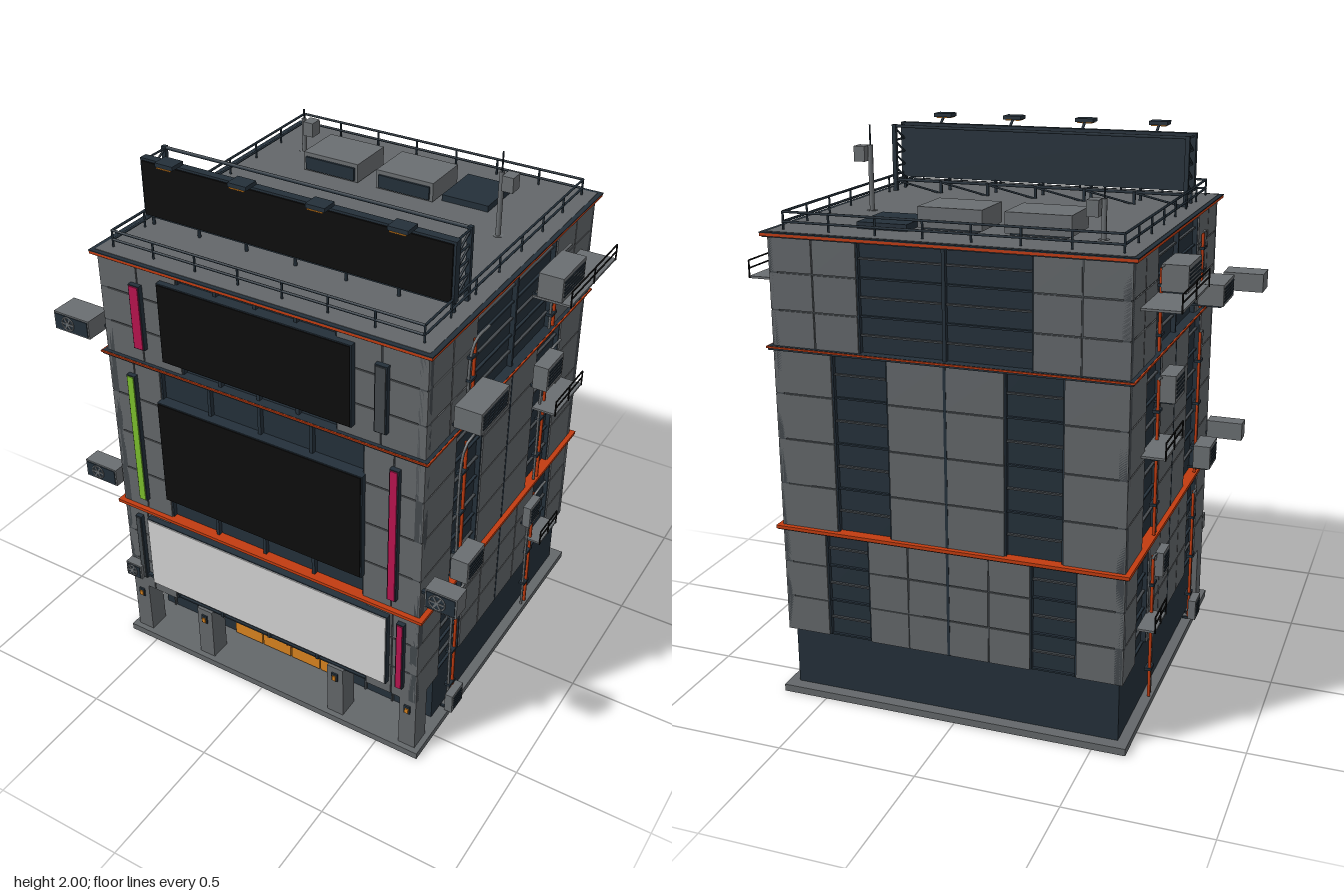
import * as THREE from 'three';

const material = (name, color) => {
  const m = new THREE.MeshStandardMaterial({ color });
  m.name = name;
  return m;
};
const M = {
  wall: material('wall grey', 0x63676a),
  trim: material('seam grey', 0x43484c),
  dark: material('dark slate', 0x24303a),
  black: material('screen black', 0x0d0d0d),
  white: material('sign white', 0xd2d2d2),
  door: material('door orange', 0xd8831f),
  ledge: material('ledge red', 0xc23c10),
  pink: material('magenta', 0xb8144f),
  green: material('lime', 0x7cc02c),
  unit: material('equipment grey', 0x6a6e71),
};
const CX = 0.024, CZ = -0.012, HALF = 0.6225;

// box given by its ranges
function box(parent, name, mat, x0, x1, y0, y1, z0, z1) {
  const g = new THREE.BoxGeometry(Math.abs(x1 - x0), Math.abs(y1 - y0), Math.abs(z1 - z0));
  const m = new THREE.Mesh(g, mat);
  m.position.set((x0 + x1) / 2, (y0 + y1) / 2, (z0 + z1) / 2);
  m.name = name;
  parent.add(m);
  return m;
}
// round bar between two points
function bar(parent, name, mat, a, b, r = 0.004) {
  const p = new THREE.Vector3(...a), q = new THREE.Vector3(...b);
  const m = new THREE.Mesh(new THREE.CylinderGeometry(r, r, p.distanceTo(q), 6), mat);
  m.position.copy(p).add(q).multiplyScalar(0.5);
  m.quaternion.setFromUnitVectors(new THREE.Vector3(0, 1, 0), q.sub(p).normalize());
  m.name = name;
  parent.add(m);
}
function group(parent, name, x = 0, y = 0, z = 0) {
  const g = new THREE.Group();
  g.name = name;
  g.position.set(x, y, z);
  parent.add(g);
  return g;
}
function slab(parent, name, mat, half, y0, y1) {
  return box(parent, name, mat, CX - half, CX + half, y0, y1, CZ - half, CZ + half);
}

// storeys: heights, panel rows, grey spans [from, to, columns] and dark spans
const STOREYS = [
  { y0: 0.25, y1: 0.65, rows: 3, grey: [[-HALF, -0.46, 1], [-0.295, 0.295, 4], [0.46, HALF, 1]], glass: [[-0.46, -0.295], [0.295, 0.46]], front: 0.42 },
  { y0: 0.65, y1: 1.305, rows: 4, grey: [[-HALF, -0.41, 1], [-0.205, 0.205, 2], [0.41, HALF, 1]], glass: [[-0.41, -0.205], [0.205, 0.41]], front: 0.405 },
  { y0: 1.305, y1: 1.69, rows: 3, grey: [[-HALF, -0.305, 2], [0.305, HALF, 2]], glass: [[-0.305, 0], [0, 0.305]], front: 0.305 },
];

function facade(parent, isFront, turn) {
  const f = group(parent, isFront ? 'frontFacade' : 'facade', CX, 0, CZ);
  f.rotation.y = turn;
  for (const s of STOREYS) {
    const w = s.front, q = w / 2;
    const grey = isFront ? [[-HALF, -w, 2], [w, HALF, 2]] : s.grey;
    const glass = isFront ? [[-w, -q], [-q, 0], [0, q], [q, w]] : s.glass;
    const h = (s.y1 - s.y0) / s.rows, gap = 0.0025;
    for (const [a, b, cols] of grey) {
      box(f, 'panelBacking', M.trim, a, b, s.y0, s.y1, HALF - 0.03, HALF - 0.004);
      const cw = (b - a) / cols;
      for (let c = 0; c < cols; c++) for (let r = 0; r < s.rows; r++)
        box(f, 'wallPanel', M.wall, a + c * cw + (c ? gap : 0), a + (c + 1) * cw - (c < cols - 1 ? gap : 0),
          s.y0 + r * h + (r ? gap : 0), s.y0 + (r + 1) * h - (r < s.rows - 1 ? gap : 0), HALF - 0.012, HALF);
    }
    for (const [a, b] of glass) {
      for (const u of [a, b]) box(f, 'windowPost', M.dark, u - 0.006, u + 0.006, s.y0, s.y1, HALF - 0.025, HALF - 0.005);
      for (let r = 0; r <= s.rows * 2; r++) {
        const y = s.y0 + r * h / 2;
        if (!isFront || r % 2 === 0) box(f, 'windowBar', r % 2 ? M.trim : M.dark, a, b, y - 0.003, y + 0.003, HALF - 0.025, HALF - 0.012);
      }
    }
    if (!isFront && s.grey.length === 3)
      box(f, 'centreSeam', M.dark, -0.005, 0.005, s.y0, s.y1, HALF - 0.01, HALF + 0.001);
  }
}

// air conditioner with slatted face; s is the side of the building
function sideUnit(parent, s, reach, y0, y1, z0, z1) {
  const g = group(parent, 'airConditioner'), X = d => CX + s * d;
  box(g, 'unitBody', M.unit, X(0.635), X(reach), y0, y1, z0, z1);
  for (let i = 0; i < 5; i++) {
    const y = y0 + (y1 - y0) * (0.2 + i * 0.15);
    box(g, 'unitSlat', M.dark, X(reach), X(reach + 0.003), y - 0.003, y + 0.003, z0 + 0.012, z1 - 0.012);
  }
  for (const z of [z0 + 0.02, z1 - 0.02]) box(g, 'unitBracket', M.dark, X(0.61), X(reach - 0.01), y0 - 0.008, y0, z - 0.004, z + 0.004);
}

function sideFittings(parent, s) {
  const g = group(parent, s > 0 ? 'leftFittings' : 'rightFittings'), X = d => CX + s * d;
  const units = [
    [0.725, 1.525, 1.615, -0.325, -0.135], [0.73, 1.345, 1.425, 0.26, 0.455], [0.69, 1.14, 1.235, -0.3, -0.165],
    [0.70, 0.695, 0.785, 0.295, 0.42], [0.665, 0.495, 0.585, -0.28, -0.19], [0.665, 0.04, 0.12, 0.32, 0.405]];
  for (const u of units) sideUnit(g, s, ...u);
  // service platforms with hand rails
  for (const [reach, y, z0, z1] of [[0.755, 1.51, -0.54, -0.145], [0.705, 1.0, -0.475, -0.235], [0.68, 0.355, -0.435, -0.28]]) {
    const p = group(g, 'servicePlatform'), top = y + 0.062;
    box(p, 'platformFloor', M.unit, X(0.615), X(reach), y, y + 0.008, z0, z1);
    for (const h of [y + 0.035, top]) {
      bar(p, 'platformRail', M.black, [X(reach), h, z0], [X(reach), h, z1], 0.003);
    }
    for (let i = 0; i <= 2; i++) {
      const z = z0 + (z1 - z0) * i / 2;
      bar(p, 'platformPost', M.black, [X(reach), y, z], [X(reach), top, z], 0.003);
    }
  }
  // vertical pipes with hooked grey conduits
  for (const [y0, y1, za, zb] of [[0.03, 0.58, 0.345, -0.296], [0.66, 1.22, 0.345, -0.3], [1.32, 1.6, 0.325, -0.312]])
    for (const z of [za, zb]) {
      bar(g, 'redPipe', M.ledge, [X(0.632), y0, z], [X(0.632), y1, z], 0.006);
      const path = new THREE.CatmullRomCurve3([[0.63, y0, z + 0.025], [0.632, y1 - 0.05, z + 0.025], [0.64, y1 + 0.005, z + 0.008], [0.645, y1 + 0.015, z - 0.07]]
        .map(([d, y, w]) => new THREE.Vector3(X(d), y, w)));
      const m = new THREE.Mesh(new THREE.TubeGeometry(path, 16, 0.005, 6), M.unit);
      m.name = 'conduit';
      g.add(m);
      for (let i = 0; i < 3; i++) {
        const y = y0 + (y1 - y0) * (0.2 + 0.3 * i);
        box(g, 'pipeClamp', M.dark, X(0.615), X(0.64), y - 0.005, y + 0.005, z - 0.01, z + 0.033);
      }
    }
}

// fan housing facing forward
function fanUnit(parent, x0, x1, y0, y1, z0, z1) {
  const g = group(parent, 'fanUnit'), cy = (y0 + y1) / 2, r = (y1 - y0) * 0.36;
  box(g, 'fanHousing', M.unit, x0, x1, y0, y1, z0, z1);
  box(g, 'fanFace', M.dark, x0 + 0.006, x1 - 0.006, y0 + 0.006, y1 - 0.006, z1, z1 + 0.003);
  const cx = x0 + (x1 - x0) * 0.4;
  const ring = new THREE.Mesh(new THREE.TorusGeometry(r, 0.003, 6, 20), M.unit);
  ring.name = 'fanRing';
  ring.position.set(cx, cy, z1 + 0.003);
  g.add(ring);
  for (let i = 0; i < 3; i++)
    box(g, 'fanBlade', M.unit, -r, r, -0.003, 0.003, 0, 0.003).rotation.z = i * Math.PI / 3;
  g.children.slice(-3).forEach(b => b.position.set(cx, cy, z1 + 0.004));
  const inward = x0 < 0 ? 1 : -1, e = x0 < 0 ? x1 : x0;
  box(g, 'fanBracket', M.dark, e, e + inward * 0.06, y0 + 0.01, y0 + 0.02, z0 + 0.01, z0 + 0.025);
}

function groundFloor(root) {
  const g = group(root, 'groundFloor');
  slab(g, 'baseSlab', M.wall, 0.643, 0, 0.026);
  box(g, 'groundWalls', M.dark, CX - 0.605, CX + 0.605, 0.026, 0.25, -0.61, 0.45);
  for (const x of [-0.5895, -0.29, 0.29, 0.5895]) {
    box(g, 'pillar', M.wall, CX + x - 0.033, CX + x + 0.033, 0.026, 0.25, 0.53, 0.61);
    box(g, 'pillarLamp', M.dark, CX + x - 0.012, CX + x + 0.012, 0.19, 0.225, 0.61, 0.616);
    box(g, 'lampGlow', M.door, CX + x - 0.007, CX + x + 0.007, 0.195, 0.215, 0.616, 0.62);
  }
  // glazed doors and flanking windows
  for (let i = 0; i < 4; i++) {
    const x = CX - 0.262 + i * 0.131;
    box(g, 'doorLeaf', M.door, x + 0.003, x + 0.128, 0.032, 0.236, 0.45, 0.462);
  }
  for (const s of [-1, 1]) {
    box(g, 'doorHandle', M.ledge, CX + s * 0.01 - 0.003, CX + s * 0.01 + 0.003, 0.095, 0.13, 0.462, 0.475);
    for (const d of [0.33, 0.445, 0.56]) box(g, 'windowFrame', M.trim, CX + s * d - 0.003, CX + s * d + 0.003, 0.03, 0.245, 0.45, 0.46);
  }
}

function frontSigns(root) {
  const g = group(root, 'frontSigns');
  const sign = (name, mat, x0, x1, y0, y1, z = 0.632) => {
    box(g, name + 'Frame', M.dark, x0, x1, y0, y1, 0.59, z);
    box(g, name, mat, x0 + 0.004, x1 - 0.004, y0 + 0.004, y1 - 0.004, z, z + 0.004);
  };
  sign('whiteBoard', M.white, -0.484, 0.536, 0.308, 0.62);
  sign('largeScreen', M.black, -0.382, 0.434, 0.752, 1.174);
  sign('upperScreen', M.black, -0.342, 0.394, 1.352, 1.652);
  sign('limeStrip', M.green, -0.512, -0.478, 0.702, 1.243, 0.628);
  sign('pinkStripMiddle', M.pink, 0.53, 0.564, 0.702, 1.243, 0.628);
  sign('pinkStripTop', M.pink, -0.464, -0.42, 1.366, 1.612, 0.628);
  sign('greyStripTop', M.trim, 0.472, 0.516, 1.366, 1.612, 0.628);
  sign('pinkStripLow', M.pink, 0.569, 0.598, 0.31, 0.608, 0.628);
  sign('greyStripLow', M.trim, -0.543, -0.517, 0.31, 0.608, 0.628);
}

function billboard(root) {
  const g = group(root, 'billboard');
  box(g, 'billboardBody', M.dark, -0.557, 0.612, 1.742, 1.952, 0.37, 0.4);
  box(g, 'billboardScreen', M.black, -0.549, 0.604, 1.75, 1.944, 0.4, 0.406);
  // rear truss
  for (let i = 0; i <= 6; i++) {
    const x = -0.547 + i * 0.191, end = i % 6 === 0;
    bar(g, 'trussLeg', M.dark, [x, 1.695, 0.37], [x, 1.745, 0.37], 0.006);
    bar(g, 'trussFoot', M.dark, [x, 1.695, 0.28], [x, 1.745, 0.28], 0.006);
    bar(g, 'trussTie', M.dark, [x, 1.74, 0.28], [x, 1.74, 0.37]);
    if (i < 6) bar(g, 'trussBrace', M.dark, [x, 1.698, 0.28], [x + 0.191, 1.74, 0.28]);
    if (!end) continue;
    box(g, 'trussPost', M.dark, x - 0.008, x + 0.008, 1.69, 1.952, 0.275, 0.291);
    for (let k = 0; k < 5; k++) {
      const y = 1.742 + k * 0.05;
      bar(g, 'trussRung', M.dark, [x, y, 0.28], [x, y, 0.37]);
      if (k < 4) bar(g, 'trussDiagonal', M.dark, [x, y, 0.37], [x, y + 0.05, 0.28]);
    }
  }
  for (const y of [1.742, 1.946]) bar(g, 'trussChord', M.dark, [-0.55, y, 0.283], [0.605, y, 0.283], 0.006);
  // overhanging lamps
  for (const x of [-0.405, -0.12, 0.167, 0.453]) {
    bar(g, 'lampArm', M.dark, [x, 1.945, 0.385], [x, 1.975, 0.43], 0.005);
    box(g, 'lampHead', M.dark, x - 0.035, x + 0.035, 1.972, 1.986, 0.412, 0.47);
    box(g, 'lampLens', M.door, x - 0.028, x + 0.028, 1.968, 1.972, 0.418, 0.472);
  }
}

function roofEquipment(root) {
  const g = group(root, 'roof');
  // perimeter railing
  const R = 0.583;
  for (let k = 0; k < 4; k++) {
    const side = group(g, 'railing', CX, 0, CZ);
    side.rotation.y = k * Math.PI / 2;
    for (const y of [1.725, 1.758]) bar(side, 'rail', M.dark, [-R, y, R], [R, y, R], 0.0045);
    for (let i = 0; i < 7; i++) {
      const x = -R + i * R * 2 / 7;
      bar(side, 'railPost', M.dark, [x, 1.69, R], [x, 1.76, R], 0.004);
    }
  }
  // plant boxes
  for (const x of [-0.344, -0.039]) {
    box(g, 'plantBox', M.unit, x, x + 0.228, 1.705, 1.775, -0.445, -0.258);
    box(g, 'plantFoot', M.dark, x + 0.015, x + 0.213, 1.69, 1.705, -0.435, -0.27);
    box(g, 'plantGrille', M.dark, x + 0.012, x + 0.216, 1.712, 1.76, -0.258, -0.25);
  }
  box(g, 'roofHatch', M.dark, 0.205, 0.385, 1.69, 1.722, -0.5, -0.297);
  // antenna masts
  for (const [x, z, top, mid] of [[0.49, -0.16, 2.0, 1.9], [-0.44, -0.41, 1.865, 1.8]]) {
    const a = group(g, 'antenna');
    bar(a, 'mastBase', M.unit, [x, 1.69, z], [x, 1.7, z], 0.02);
    bar(a, 'mast', M.unit, [x, 1.69, z], [x, mid + 0.03, z], 0.009);
    bar(a, 'aerial', M.dark, [x, mid, z], [x, top, z], 0.003);
    box(a, 'antennaBox', M.unit, x + 0.012, x + 0.053, mid - 0.027, mid + 0.027, z - 0.025, z + 0.025);
  }
}

export function createModel() {
  const root = new THREE.Group();
  root.name = 'building';
  groundFloor(root);
  slab(root, 'core', M.dark, HALF - 0.022, 0.25, 1.69);
  for (let k = 0; k < 4; k++) facade(root, k === 0, k * Math.PI / 2);
  // ledges between storeys and roof cap
  for (const [y, t] of [[0.65, 0.006], [1.305, 0.003], [1.69, 0.006]]) {
    slab(root, 'ledge', M.dark, 0.636, y - 0.01, y + 0.004);
    slab(root, 'ledgeStripe', M.ledge, 0.641, y - t, y + t);
  }
  slab(root, 'roofEdge', M.dark, 0.6425, 1.694, 1.6975);
  slab(root, 'roofDeck', M.wall, 0.626, 1.69, 1.699);
  frontSigns(root);
  billboard(root);
  roofEquipment(root);
  for (const s of [-1, 1]) sideFittings(root, s);
  fanUnit(root, -0.803, -0.65, 1.345, 1.415, 0.535, 0.64);
  fanUnit(root, -0.745, -0.605, 0.727, 0.797, 0.575, 0.64);
  fanUnit(root, 0.68, 0.797, 0.752, 0.832, 0.578, 0.645);
  fanUnit(root, -0.6, -0.53, 0.31, 0.372, 0.6, 0.645);
  return root;
}
